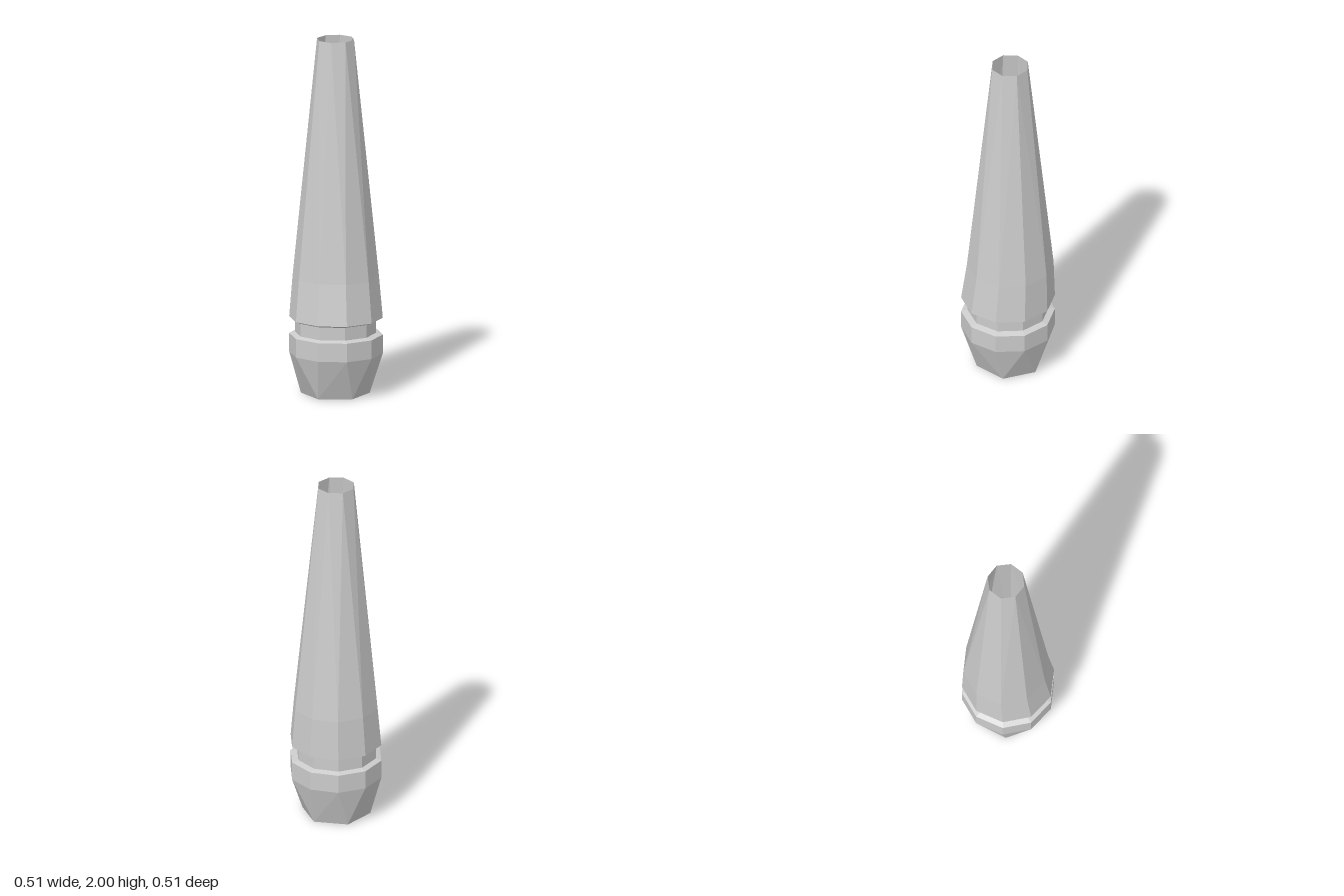
import * as THREE from 'three';

const DEG = Math.PI / 180;

// A ring of n points: height, radius, first angle in degrees and centre offset
const ring = (n, y, r, start, cx = 0, cz = 0) => ({ n, y, r, start, cx, cz });

const angleAt = (k, i) => k.start + (360 / k.n) * i;

function pointAt(k, i) {
  const a = angleAt(k, i % k.n) * DEG;
  return [k.cx + k.r * Math.cos(a), k.y, k.cz + k.r * Math.sin(a)];
}

// Bridges two rings that may differ in point count, always taking the shorter diagonal
function bridge(lo, up, out) {
  let i = 0, j = 0;
  while (i < lo.n || j < up.n) {
    const stepLow = Math.abs(angleAt(lo, i + 1) - angleAt(up, j));
    const stepUp = Math.abs(angleAt(up, j + 1) - angleAt(lo, i));
    const a = pointAt(lo, i), b = pointAt(up, j);
    if (j >= up.n || (i < lo.n && stepLow <= stepUp)) {
      out.push(...a, ...b, ...pointAt(lo, ++i));
    } else {
      out.push(...a, ...b, ...pointAt(up, ++j));
    }
  }
}

function loft(name, rings, material) {
  const out = [];
  for (let k = 0; k + 1 < rings.length; k++) bridge(rings[k], rings[k + 1], out);
  const geometry = new THREE.BufferGeometry();
  geometry.setAttribute('position', new THREE.Float32BufferAttribute(out, 3));
  geometry.computeVertexNormals();
  const mesh = new THREE.Mesh(geometry, material);
  mesh.name = name;
  return mesh;
}

export function createModel() {
  const group = new THREE.Group();
  group.name = 'taperedHandle';
  const material = new THREE.MeshStandardMaterial({
    color: 0xcccccc, flatShading: true, side: THREE.DoubleSide,
  });

  const foot = ring(6, 0, 0.19, -13.5, -0.005, -0.005);
  const collarLow = ring(10, 0.23, 0.259, -9);
  const collarHigh = ring(10, 0.335, 0.259, -9);
  const grooveLow = ring(10, 0.345, 0.225, -9, -0.003);
  const grooveHigh = ring(10, 0.417, 0.225, -9, -0.003);
  const shaftLow = ring(10, 0.43, 0.259, -9);
  const shaftMid = ring(10, 0.66, 0.239, -9, -0.004, -0.012);
  const mouth = ring(8, 2, 0.105, 0, -0.005, -0.01);

  // Open, six-sided foot widening to the ten-sided collar
  group.add(loft('base', [foot, collarLow, collarHigh], material));
  // Recessed band between the two rims
  group.add(loft('groove', [collarHigh, grooveLow, grooveHigh, shaftLow], material));
  // Long taper ending in an open eight-sided mouth
  group.add(loft('shaft', [shaftLow, shaftMid, mouth], material));
  return group;
}
